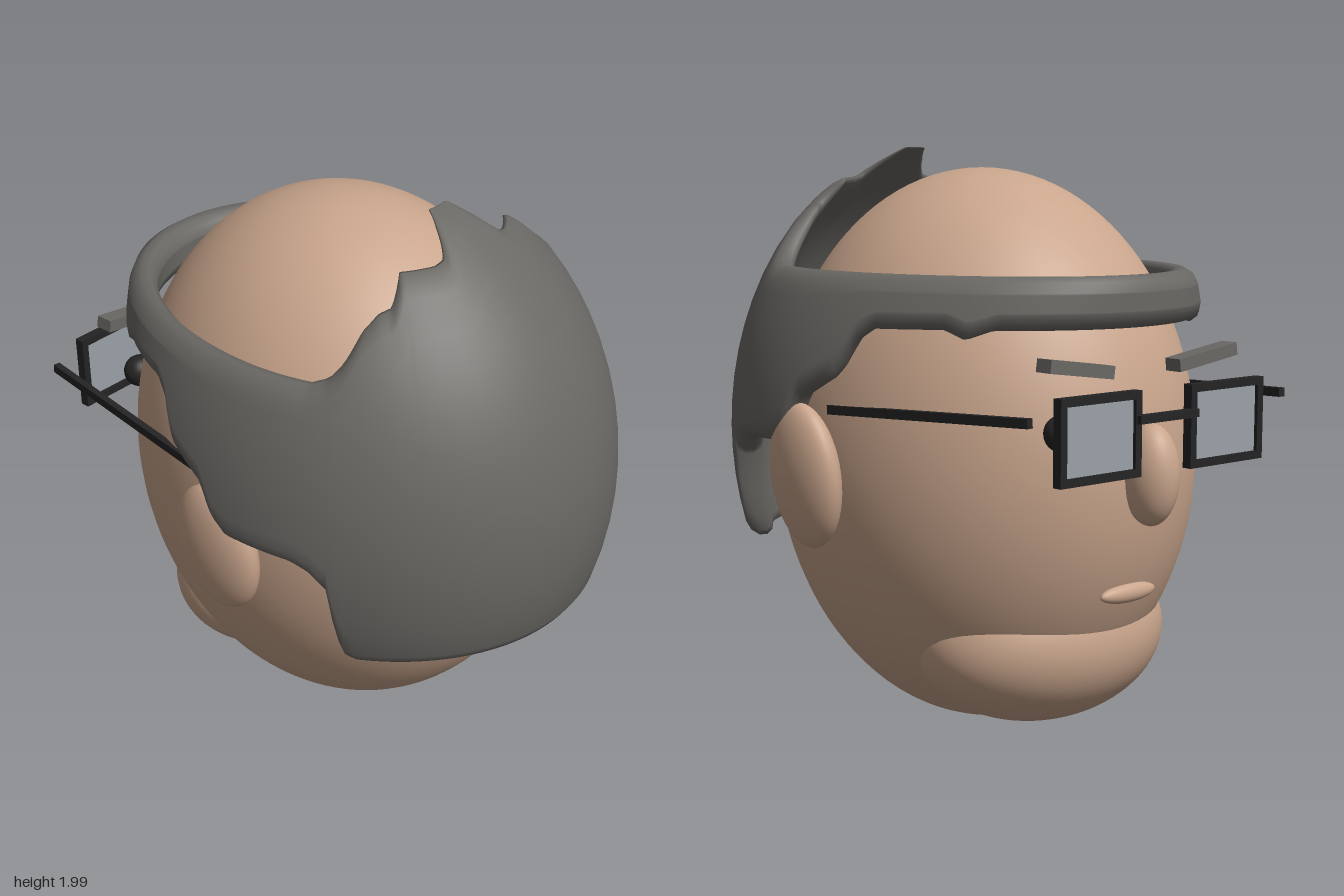
import * as THREE from 'three';

const mat = (name, color) => {
  const m = new THREE.MeshStandardMaterial({ color });
  m.name = name;
  return m;
};

// Piecewise-linear lookup in a list of [position, value] pairs
function lookup(table, p) {
  for (let i = 1; i < table.length; i++) {
    const [p0, v0] = table[i - 1], [p1, v1] = table[i];
    if (p <= p1) return v0 + (v1 - v0) * (p - p0) / (p1 - p0);
  }
  return table[table.length - 1][1];
}

// Upper and lower hairline heights, by angle from the back (0) to the brow (PI)
const TOP = [[0, 2], [0.17, 2], [0.26, 1.965], [0.36, 1.905], [0.45, 1.895], [0.72, 1.89], [0.8, 1.81],
  [0.88, 1.795], [0.97, 1.75], [1.06, 1.66], [1.12, 1.62], [1.2, 1.6], [3.15, 1.6]];
const BOTTOM = [[0, 0.635], [0.98, 0.635], [1.03, 0.66], [1.06, 0.76], [1.09, 0.94], [1.16, 1], [1.23, 1.025],
  [1.5, 1.04], [1.56, 1.075], [1.63, 1.19], [1.8, 1.27], [1.88, 1.39], [1.95, 1.43], [2.25, 1.435],
  [2.34, 1.405], [2.45, 1.435], [3.15, 1.435]];

// Hair: a thick shell with rounded rims, swept around the head
function hairGeometry() {
  const rim = [[0.1, 0.05], [0.09, 0.02], [0.065, 0.002], [0.035, 0], [0.01, 0.018], [0, 0.05]];
  const turns = 288, mids = 12;
  const pos = [], idx = [];
  let rows = 0;
  for (let i = 0; i < turns; i++) {
    const th = -Math.PI + (i / turns) * Math.PI * 2;
    const y0 = lookup(BOTTOM, Math.abs(th)), y1 = lookup(TOP, Math.abs(th));
    const section = rim.map(([t, h]) => [t, y0 + h]);
    const mid = k => y0 + 0.05 + (y1 - y0 - 0.1) * k / mids;
    for (let k = 1; k < mids; k++) section.push([0, mid(k)]);
    for (const [t, h] of [...rim].reverse()) section.push([t, y1 - h]);
    for (let k = mids - 1; k > 0; k--) section.push([0.1, mid(k)]);
    rows = section.length;
    for (const [t, y] of section) {
      const s = Math.sqrt(Math.max(0.02, 1 - ((y - 1.02) / 1.04) ** 2));
      const front = Math.cos(th) < 0;
      const inset = t * s;
      const depth = front ? 0.9 - t * 1.1 : 0.905 * s - inset;
      pos.push((0.79 * s - inset) * Math.sin(th), y, 0.055 + depth * Math.cos(th));
    }
  }
  for (let i = 0; i < turns; i++) {
    const n = (i + 1) % turns;
    for (let j = 0; j < rows; j++) {
      const k = (j + 1) % rows;
      const a = i * rows + j, b = n * rows + j, c = n * rows + k, d = i * rows + k;
      idx.push(a, b, c, a, c, d);
    }
  }
  const g = new THREE.BufferGeometry();
  g.setAttribute('position', new THREE.Float32BufferAttribute(pos, 3));
  g.setIndex(idx);
  g.computeVertexNormals();
  return g;
}

// Rectangular lens rim with a window
function rimGeometry(w, h, border, depth) {
  const rect = (path, x, y) => path.moveTo(-x, -y).lineTo(x, -y).lineTo(x, y).lineTo(-x, y).closePath();
  const shape = rect(new THREE.Shape(), w / 2, h / 2);
  shape.holes.push(rect(new THREE.Path(), w / 2 - border, h / 2 - border));
  return new THREE.ExtrudeGeometry(shape, { depth, bevelEnabled: false }).translate(0, 0, -depth / 2);
}

export function createModel() {
  const root = new THREE.Group();
  root.name = 'head with glasses';
  const skin = mat('skin', 0xc9a58c);
  const hair = mat('hair grey', 0x6a6864);
  const dark = mat('black', 0x242424);
  const glass = mat('lens grey', 0x9aa1a7);

  const add = (name, geometry, material, x, y, z) => {
    const m = new THREE.Mesh(geometry, material);
    m.name = name;
    m.position.set(x, y, z);
    root.add(m);
    return m;
  };
  const ball = (name, material, p, r, seg = 40) =>
    add(name, new THREE.SphereGeometry(1, seg, seg * 0.75).scale(...r), material, ...p);
  const box = (name, material, p, size) => add(name, new THREE.BoxGeometry(...size), material, ...p);

  // Skull, chin, nose and mouth; the face looks towards -z
  ball('skull', skin, [0, 0.97, -0.03], [0.68, 0.96, 0.8], 72);
  ball('chin', skin, [0, 0.37, -0.33], [0.475, 0.31, 0.37], 56);
  ball('nose', skin, [0, 0.97, -0.857], [0.085, 0.165, 0.1]);
  ball('mouth', skin, [0, 0.57, -0.762], [0.12, 0.032, 0.028]);

  add('hair', hairGeometry(), hair, 0, 0, 0);

  for (const s of [-1, 1]) {
    const side = s > 0 ? 'left' : 'right';
    ball(side + 'Ear', skin, [s * 0.715, 0.93, 0.02], [0.08, 0.245, 0.17]).rotation.z = -s * 0.1;
    ball(side + 'Eye', dark, [s * 0.3, 1.12, -0.765], [0.058, 0.058, 0.055], 24);
    box(side + 'Eyebrow', hair, [s * 0.28, 1.323, -0.807], [0.27, 0.042, 0.065]).rotation.z = s * 0.14;

    // Glasses: rim, lens and temple arm
    add(side + 'Rim', rimGeometry(0.34, 0.27, 0.026, 0.034), dark, s * 0.28, 1.12, -0.908);
    box(side + 'Lens', glass, [s * 0.28, 1.12, -0.908], [0.295, 0.225, 0.009]);
    const start = new THREE.Vector3(s * 0.56, 1.192, -0.91), end = new THREE.Vector3(s * 0.665, 1.152, -0.05);
    const arm = box(side + 'Temple', dark, start.clone().add(end).multiplyScalar(0.5).toArray(),
      [0.024, 0.03, start.distanceTo(end)]);
    arm.lookAt(end);
  }
  box('bridge', dark, [0, 1.165, -0.926], [0.26, 0.026, 0.03]);

  return root;
}
